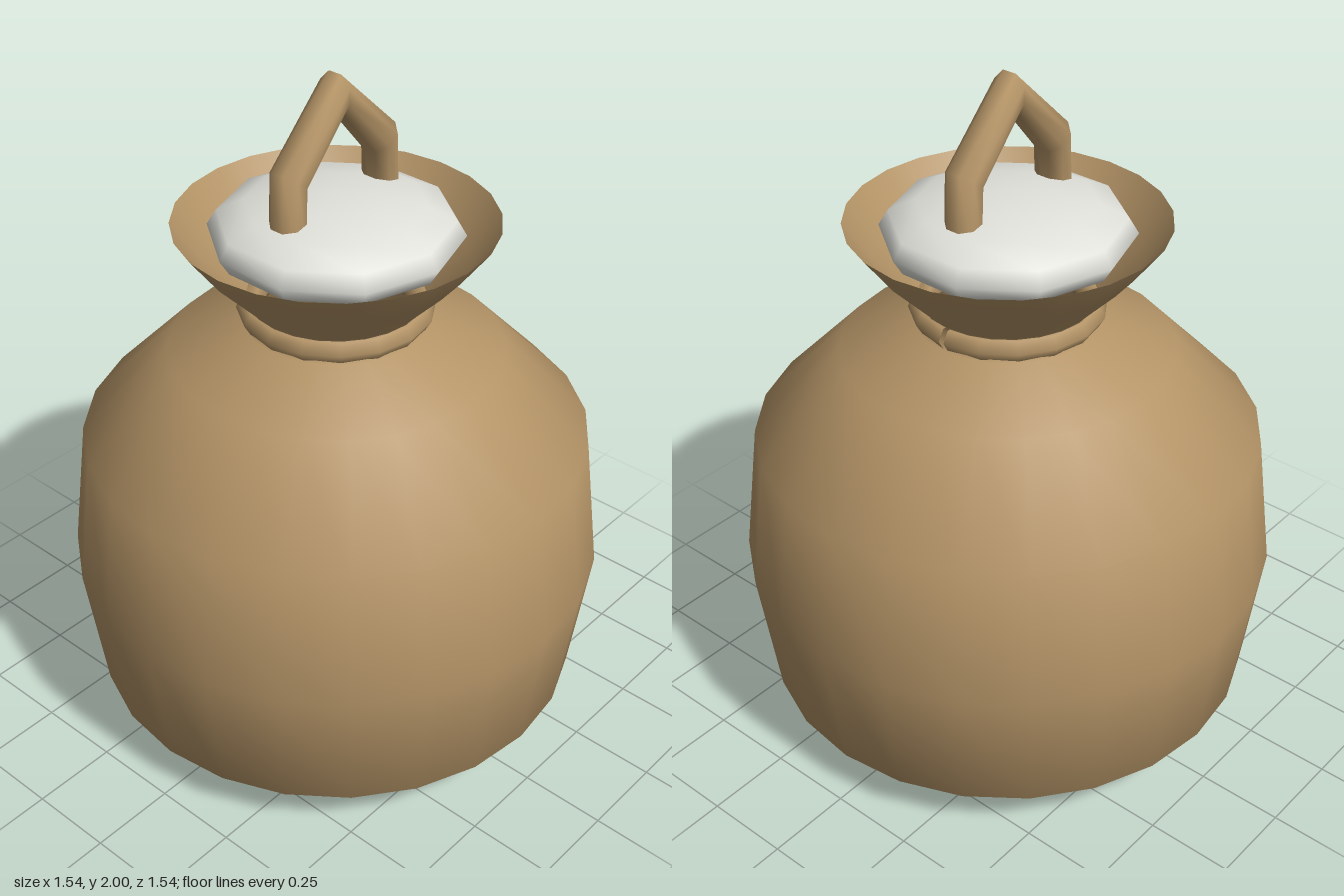
import * as THREE from 'three';

const tan = new THREE.MeshStandardMaterial({ color: 0xb39366, side: THREE.DoubleSide });
tan.name = 'tan cloth';
const white = new THREE.MeshStandardMaterial({ color: 0xe0e0da });
white.name = 'off white';

// Pointed handle: octagonal sections swept along mitred corners
function handleGeometry() {
  // centre x, centre y, half-width vector x, y
  const sections = [
    [-0.187, 1.57, -0.043, 0],
    [-0.178, 1.767, -0.041, 0.03],
    [0, 1.952, 0, 0.052],
    [0.178, 1.767, 0.041, 0.03],
    [0.187, 1.57, 0.043, 0],
  ];
  const sides = 8, pos = [], index = [];
  for (const [x, y, ux, uy] of sections) {
    for (let j = 0; j < sides; j++) {
      const a = ((j + 0.5) / sides) * Math.PI * 2;
      const c = Math.cos(a) / Math.cos(Math.PI / 8), s = Math.sin(a) / Math.cos(Math.PI / 8);
      pos.push(x + ux * c, y + uy * c, 0.05 * s - 0.004);
    }
  }
  for (let i = 0; i < sections.length - 1; i++) {
    for (let j = 0; j < sides; j++) {
      const k = (j + 1) % sides;
      const a = i * sides + j, b = i * sides + k, c = a + sides, d = b + sides;
      index.push(a, b, c, b, d, c);
    }
  }
  const geo = new THREE.BufferGeometry();
  geo.setAttribute('position', new THREE.Float32BufferAttribute(pos, 3));
  geo.setIndex(index);
  geo.computeVertexNormals();
  return geo;
}

export function createModel() {
  const group = new THREE.Group();
  const add = (name, geo, mat) => {
    const mesh = new THREE.Mesh(geo, mat);
    mesh.name = name;
    group.add(mesh);
    return mesh;
  };

  // Round sack with narrow neck and flared open mouth
  const profile = [
    [0, 0.004], [0.535, 0.026], [0.717, 0.152], [0.77, 0.55], [0.722, 0.942],
    [0.473, 1.2], [0.262, 1.293], [0.235, 1.325], [0.25, 1.362], [0.363, 1.48], [0.445, 1.59],
  ].map(([r, y]) => new THREE.Vector2(r, y));
  add('sack', new THREE.LatheGeometry(profile, 24), tan);

  // Cord around the neck, with a small gap on the left side
  const gap = 0.06;
  const cord = add('neckCord', new THREE.TorusGeometry(0.238, 0.037, 6, 16, Math.PI * 2 - gap), tan);
  cord.rotation.set(Math.PI / 2, 0, gap / 2);
  cord.position.y = 1.325;

  // Flattened ten-sided stopper
  const lid = add('lid', new THREE.SphereGeometry(0.35, 10, 8), white);
  lid.scale.y = 0.33;
  lid.rotation.y = Math.PI / 2;
  lid.position.y = 1.555;

  add('handle', handleGeometry(), tan);
  return group;
}
